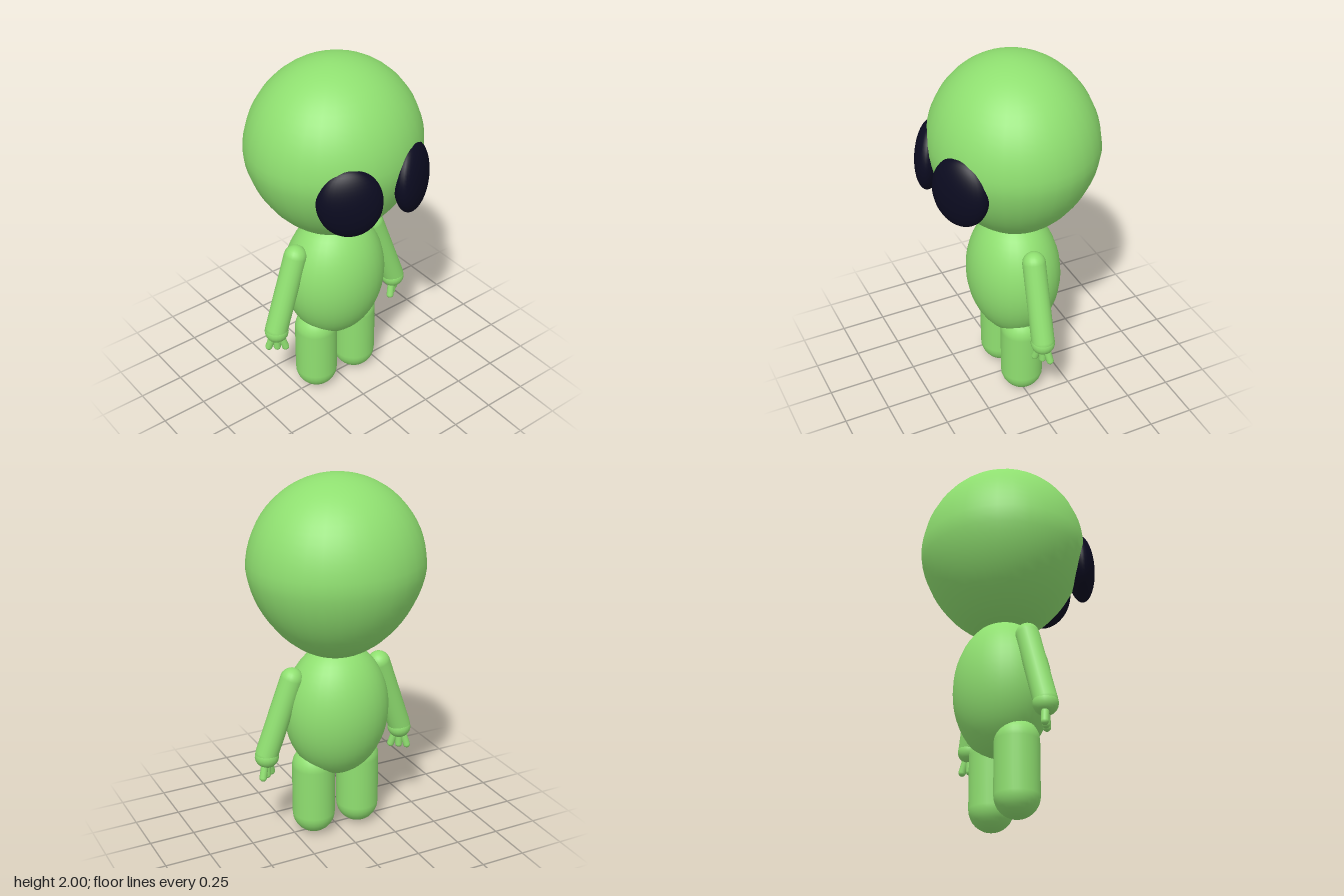
import * as THREE from 'three';

const skin = new THREE.MeshStandardMaterial({ color: 0x8fdf70 });
skin.name = 'green skin';
const eyeBlack = new THREE.MeshStandardMaterial({ color: 0x0b0b20 });
eyeBlack.name = 'dark eye';

const V = (x, y, z) => new THREE.Vector3(x, y, z);

function ellipsoid(name, material, centre, radii, w = 32, h = 24) {
  const mesh = new THREE.Mesh(new THREE.SphereGeometry(1, w, h), material);
  mesh.name = name;
  mesh.position.copy(centre);
  mesh.scale.copy(radii);
  return mesh;
}

// Round-ended rod between the centres of its two end caps
function capsule(name, a, b, radius, segments = 20) {
  const along = b.clone().sub(a);
  const mesh = new THREE.Mesh(new THREE.CapsuleGeometry(radius, along.length(), 8, segments), skin);
  mesh.name = name;
  mesh.position.copy(a).add(b).multiplyScalar(0.5);
  mesh.quaternion.setFromUnitVectors(V(0, 1, 0), along.normalize());
  return mesh;
}

// Sphere whose lower half is longer and narrows towards the chin
function makeHead() {
  const geometry = new THREE.SphereGeometry(1, 32, 32);
  const p = geometry.attributes.position;
  for (let i = 0; i < p.count; i++) {
    const y = p.getY(i);
    const taper = y < 0 ? 1 - 0.15 * Math.pow(-y, 1.15) : 1;
    p.setXYZ(i, p.getX(i) * 0.472 * taper, y * (y < 0 ? 0.49 : 0.48), p.getZ(i) * 0.44 * taper);
  }
  geometry.computeVertexNormals();
  // Make the normals agree along the seam and at the poles
  const n = geometry.attributes.normal;
  for (let row = 0; row <= 32; row++) {
    const first = row * 33, last = first + 32;
    const sum = V(n.getX(first) + n.getX(last), n.getY(first) + n.getY(last), n.getZ(first) + n.getZ(last)).normalize();
    for (const i of [first, last]) n.setXYZ(i, sum.x, sum.y, sum.z);
  }
  for (let i = 0; i < 33; i++) {
    n.setXYZ(i, 0, 1, 0);
    n.setXYZ(32 * 33 + i, 0, -1, 0);
  }
  const head = new THREE.Mesh(geometry, skin);
  head.name = 'head';
  head.position.set(0, 1.52, -0.02);
  return head;
}

export function createModel() {
  const model = new THREE.Group();
  model.name = 'alien';
  model.add(makeHead());
  model.add(ellipsoid('body', skin, V(0, 0.72, -0.02), V(0.29, 0.377, 0.25)));

  for (const s of [1, -1]) {
    const side = s > 0 ? 'left' : 'right';

    // Slanted eye set into the face
    const eye = ellipsoid(side + 'Eye', eyeBlack, V(s * 0.196, 1.445, 0.36), V(0.165, 0.187, 0.075));
    eye.rotation.set(-0.06, s * 0.52, -s * 0.08, 'YXZ');
    model.add(eye);

    // Leg
    model.add(capsule(side + 'Leg', V(s * 0.135, 0.117, -0.01), V(s * 0.135, 0.4, -0.01), 0.117, 28));

    // Arm and rounded hand
    model.add(capsule(side + 'Arm', V(s * 0.405, 0.525, 0), V(s * 0.26, 0.935, -0.015), 0.062));
    const hand = new THREE.Group();
    hand.name = side + 'Hand';
    hand.position.set(s * 0.405, 0.51, 0);
    hand.rotation.y = s * 0.64;
    hand.add(ellipsoid('palm', skin, V(0, 0, 0), V(0.065, 0.062, 0.065), 20, 14));

    // Three splayed fingers
    for (const f of [-1, 0, 1]) {
      hand.add(capsule('finger', V(f * 0.022, -0.035, 0), V(f * 0.045, -0.109, 0), 0.02, 12));
    }
    model.add(hand);
  }
  return model;
}
